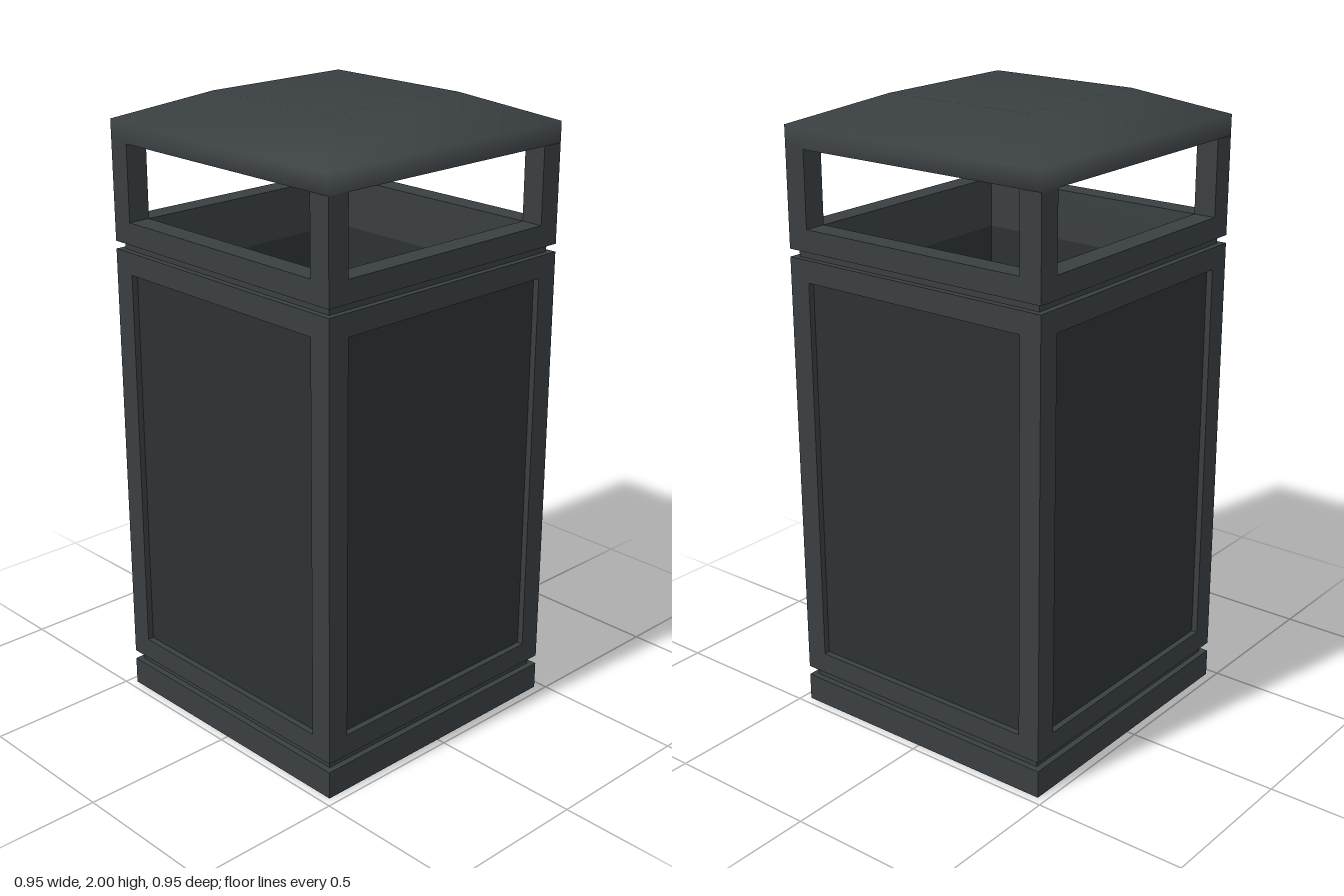
import * as THREE from 'three';

const HALF = 0.473; // outer half width
const POST = 0.073; // post width and wall thickness
const INNER = HALF - POST;
const GROOVE = HALF - 0.02;

const frameMat = new THREE.MeshStandardMaterial({ color: 0x393e41 });
const panelMat = new THREE.MeshStandardMaterial({ color: 0x2d3133 });

function add(parent, name, geometry, material = frameMat) {
  const mesh = new THREE.Mesh(geometry, material);
  mesh.name = name;
  parent.add(mesh);
  return mesh;
}

function square(PathType, h) {
  return new PathType([[-h, -h], [h, -h], [h, h], [-h, h]].map(([x, y]) => new THREE.Vector2(x, y)));
}

// Square ring standing between two heights
function ring(outer, y0, y1) {
  const shape = square(THREE.Shape, outer);
  shape.holes.push(square(THREE.Path, INNER));
  return new THREE.ExtrudeGeometry(shape, { depth: y1 - y0, bevelEnabled: false })
    .rotateX(-Math.PI / 2).translate(0, y0, 0);
}

function slab(half, y0, y1) {
  return new THREE.BoxGeometry(half * 2, y1 - y0, half * 2).translate(0, (y0 + y1) / 2, 0);
}

// Four square corner posts between two heights
function posts(parent, name, y0, y1) {
  const c = HALF - POST / 2;
  for (const x of [-c, c]) for (const z of [-c, c]) {
    add(parent, name, new THREE.BoxGeometry(POST, y1 - y0, POST)).position.set(x, (y0 + y1) / 2, z);
  }
}

// Hipped roof: square rings joined by quads, with smooth shared normals
function roofGeometry() {
  const sections = [[HALF, 1.85], [HALF, 1.915], [0.255, 2]];
  const pos = [], idx = [];
  for (const [h, y] of sections) pos.push(-h, y, h, h, y, h, h, y, -h, -h, y, -h);
  for (let s = 0; s < sections.length - 1; s++) {
    for (let i = 0; i < 4; i++) {
      const a = s * 4 + i, b = s * 4 + (i + 1) % 4;
      idx.push(a, b, b + 4, a, b + 4, a + 4);
    }
  }
  idx.push(8, 9, 10, 8, 10, 11);
  const g = new THREE.BufferGeometry();
  g.setAttribute('position', new THREE.Float32BufferAttribute(pos, 3));
  g.setIndex(idx);
  g.computeVertexNormals();
  return g;
}

export function createModel() {
  const bin = new THREE.Group();
  bin.name = 'litterBin';

  // Plinth and the recessed joint above it
  add(bin, 'base', slab(HALF, 0, 0.09));
  add(bin, 'lowerGroove', slab(GROOVE, 0.09, 0.12));

  // Hollow body: rails, posts and a recessed panel on each side
  const body = new THREE.Group();
  body.name = 'body';
  bin.add(body);
  add(body, 'bottomRail', ring(HALF, 0.12, 0.19));
  add(body, 'topRail', ring(HALF, 1.445, 1.515));
  posts(body, 'bodyPost', 0.19, 1.445);
  const depth = GROOVE - INNER;
  for (let i = 0; i < 4; i++) {
    const side = new THREE.Group();
    side.name = 'panelSide';
    side.rotation.y = i * Math.PI / 2;
    add(side, 'panel', new THREE.BoxGeometry(INNER * 2, 1.255, depth), panelMat)
      .position.set(0, 0.8175, INNER + depth / 2);
    body.add(side);
  }

  // Hood with four openings
  const hood = new THREE.Group();
  hood.name = 'hood';
  bin.add(hood);
  add(hood, 'upperGroove', ring(GROOVE, 1.515, 1.54));
  add(hood, 'sill', ring(HALF, 1.54, 1.61));
  posts(hood, 'hoodPost', 1.61, 1.85);
  add(hood, 'roof', roofGeometry());
  add(hood, 'ceiling', new THREE.PlaneGeometry(HALF * 2, HALF * 2).rotateX(Math.PI / 2).translate(0, 1.85, 0));

  return bin;
}
